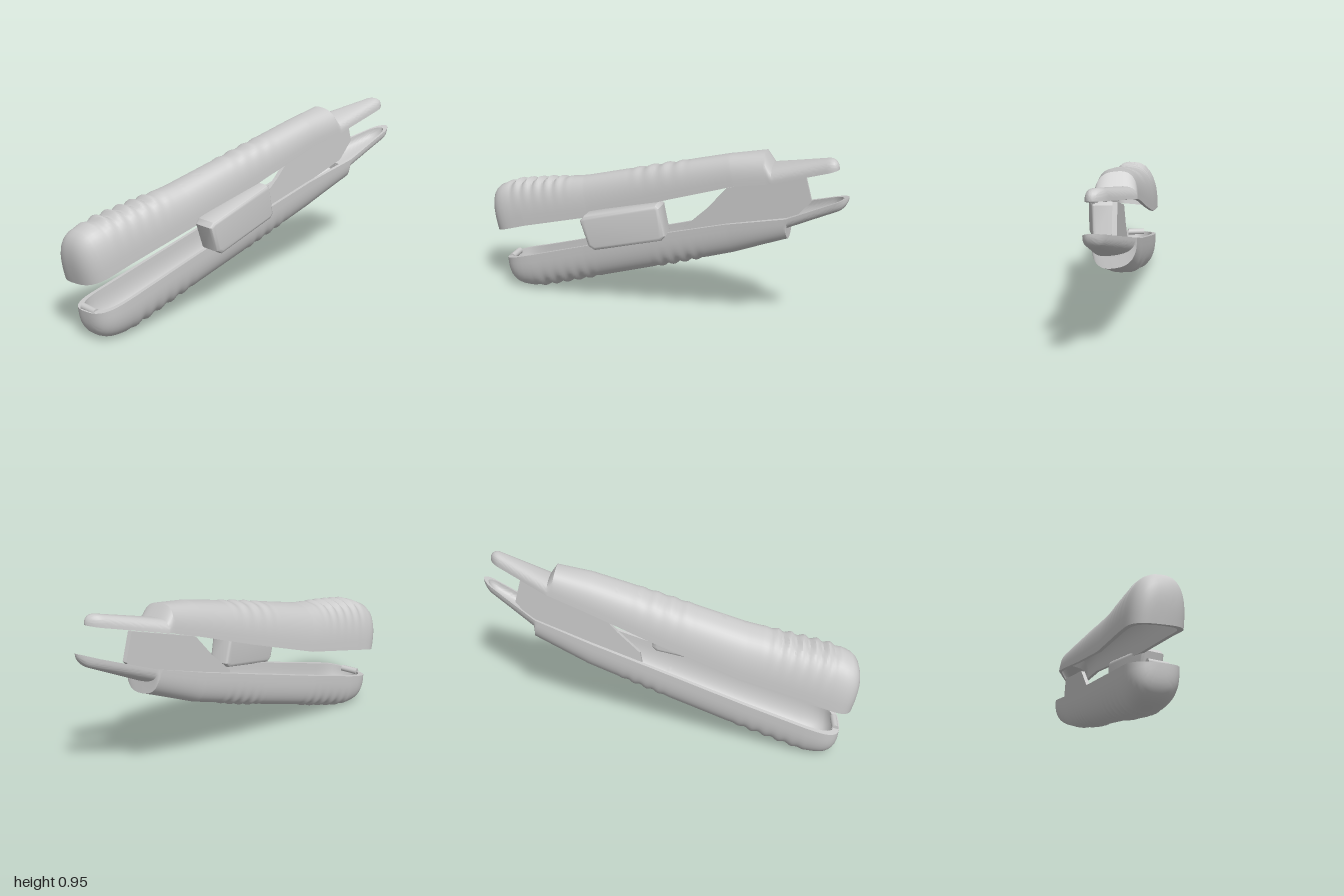
import * as THREE from 'three';
import { toCreasedNormals } from 'three/addons/utils/BufferGeometryUtils.js';

const material = new THREE.MeshStandardMaterial({ color: 0xcccccc, side: THREE.DoubleSide });

// Interpolates keys of [x, rimY, rimZ, tiltY, halfWidthZ, leanX, depthY]
function sample(keys, x) {
  let i = 0;
  while (i < keys.length - 2 && x > keys[i + 1][0]) i++;
  const a = keys[i], b = keys[i + 1];
  const t = (x - a[0]) / (b[0] - a[0]);
  return a.map((v, k) => THREE.MathUtils.lerp(v, b[k], t));
}

// Rounds an end: 0 at the very end, 1 once past the radius
function dome(d, r, p) {
  if (d <= 0) return 0;
  return d >= r ? 1 : Math.pow(1 - Math.pow(1 - d / r, p), 1 / p);
}

// Finger grips: rows of soft ribs inside given x ranges
function ribs(grips, x, angle) {
  let h = 0;
  for (const [from, to, period, height] of grips) {
    const t = (x - from) / (to - from);
    if (t <= 0 || t >= 1) continue;
    const wave = Math.sin((2 * Math.PI * (x + 0.02 * Math.cos(angle))) / period);
    h += height * wave * Math.min(1, 4 * t, 4 * (1 - t)) * Math.sin(angle);
  }
  return h;
}

// Hollow trough with a domed rear end, a stepped mouth and a tapering prong
function shell(name, keys, grips, endRadius, flip) {
  const start = keys[0][0], end = keys[keys.length - 1][0];
  const xs = [];
  for (let k = 0; k < 10; k++) xs.push(start + endRadius * Math.pow(k / 10, 2.5));
  for (let x = start + endRadius; x < end - 0.06; x += 0.011) xs.push(x);
  for (let k = 8; k >= 0; k--) xs.push(end - 0.06 * Math.pow(k / 8, 2));
  for (const key of keys.slice(1, -1)) xs.push(key[0]);
  xs.sort((a, b) => a - b);

  const n = 24, wall = 0.025, ring = 2 * (n + 1);
  const positions = [], indices = [];
  for (const x of xs) {
    const [, cy, cz, ay, az, bx, by] = sample(keys, x);
    for (let j = 0; j < ring; j++) {
      const inner = j > n;
      const angle = (Math.PI * (inner ? ring - 1 - j : j)) / n;
      const inset = inner ? wall : 0;
      const size = dome(x - start - inset, endRadius, 3) * dome(end - x - inset, 0.05, 2) * (inner ? 0.83 : 1);
      const c = Math.cos(angle), s = Math.sin(angle);
      const u = size * Math.sign(c) * Math.pow(Math.abs(c), 0.75);
      const v = size * Math.pow(Math.max(0, s), 0.75) * (1 + (inner ? 0 : ribs(grips, x, angle)));
      positions.push(x + bx * v, cy + ay * u + by * v, cz + az * u);
    }
  }
  for (let i = 0; i < xs.length - 1; i++) {
    for (let j = 0; j < ring; j++) {
      const a = i * ring + j, b = i * ring + ((j + 1) % ring);
      const c = a + ring, d = b + ring;
      if (flip) indices.push(a, b, c, b, d, c);
      else indices.push(a, c, b, b, c, d);
    }
  }
  const geometry = new THREE.BufferGeometry();
  geometry.setAttribute('position', new THREE.Float32BufferAttribute(positions, 3));
  geometry.setIndex(indices);
  const mesh = new THREE.Mesh(toCreasedNormals(geometry, 0.6), material);
  mesh.name = name;
  return mesh;
}

// Flat part cut from an outline, with optional rounded edges
function plate(name, outline, depth, bevel) {
  const shape = new THREE.Shape(outline.map(([x, y]) => new THREE.Vector2(x, y)));
  const geometry = new THREE.ExtrudeGeometry(shape, {
    depth: depth - 2 * bevel,
    bevelEnabled: bevel > 0,
    bevelThickness: bevel,
    bevelSize: bevel,
    bevelOffset: -bevel,
    bevelSegments: 4,
  });
  geometry.translate(0, 0, bevel);
  const mesh = new THREE.Mesh(toCreasedNormals(geometry, 0.6), material);
  mesh.name = name;
  return mesh;
}

export function createModel() {
  const group = new THREE.Group();
  group.name = 'handTool';

  // Upper handle: an arch open downwards, its back rim hanging lower
  group.add(shell('upperHandle', [
    [-0.955, 0.325, -0.14, 0.015, 0.138, -0.06, 0.245],
    [-0.75, 0.385, -0.11, 0.02, 0.137, -0.055, 0.245],
    [-0.36, 0.485, -0.055, 0.022, 0.126, -0.05, 0.215],
    [0.09, 0.645, 0.016, 0.018, 0.115, -0.04, 0.178],
    [0.43, 0.767, 0.07, 0.008, 0.106, -0.035, 0.145],
    [0.605, 0.815, 0.096, -0.008, 0.1, -0.03, 0.13],
    [0.625, 0.82, 0.1, -0.008, 0.1, -0.01, 0.065],
    [0.94, 0.915, 0.215, 0, 0.04, 0, 0.058],
  ], [[-0.88, -0.42, 0.065, 0.04], [-0.12, 0.24, 0.08, 0.025]], 0.13, false));

  // Lower handle: a trough open upwards
  group.add(shell('lowerHandle', [
    [-0.91, 0.165, -0.13, 0.012, 0.13, 0.01, -0.17],
    [-0.72, 0.22, -0.105, 0.014, 0.13, 0.01, -0.207],
    [-0.4, 0.32, -0.06, 0.014, 0.123, 0.02, -0.2],
    [0, 0.447, 0.003, 0.012, 0.115, 0.03, -0.188],
    [0.4, 0.57, 0.063, 0.005, 0.107, 0.03, -0.168],
    [0.69, 0.655, 0.11, -0.012, 0.102, 0.02, -0.125],
    [0.705, 0.66, 0.115, -0.012, 0.1, 0, -0.07],
    [0.995, 0.792, 0.232, 0, 0.037, 0, -0.052],
  ], [[-0.78, -0.32, 0.07, 0.045], [-0.05, 0.27, 0.065, 0.04]], 0.16, true));

  // Rounded block between the handles, standing out at the front
  const block = plate('sideBlock', [
    [-0.37, 0.52], [-0.35, 0.545], [0.04, 0.645], [0.06, 0.63],
    [0.09, 0.48], [0.07, 0.455], [-0.29, 0.365], [-0.325, 0.385],
  ], 0.12, 0.02);
  block.position.z = 0.065;
  group.add(block);

  // Thin middle plate joining the two jaws, skewed to follow the handles
  const web = plate('middlePlate', [
    [0.14, 0.42], [0.15, 0.485], [0.27, 0.6], [0.38, 0.73],
    [0.77, 0.86], [0.81, 0.72], [0.73, 0.62], [0.4, 0.5],
  ], 0.022, 0);
  web.geometry.applyMatrix4(new THREE.Matrix4().set(
    1, 0, 0, 0, 0, 1, 0, 0, 0.15, 0, 1, -0.015, 0, 0, 0, 1));
  web.geometry.computeVertexNormals();
  group.add(web);

  // Small catch at the rear of the lower handle
  const latch = new THREE.Mesh(new THREE.CylinderGeometry(0.018, 0.018, 0.1, 16), material);
  latch.name = 'rearCatch';
  latch.rotation.x = Math.PI / 2;
  latch.position.set(-0.885, 0.168, -0.13);
  group.add(latch);

  return group;
}
